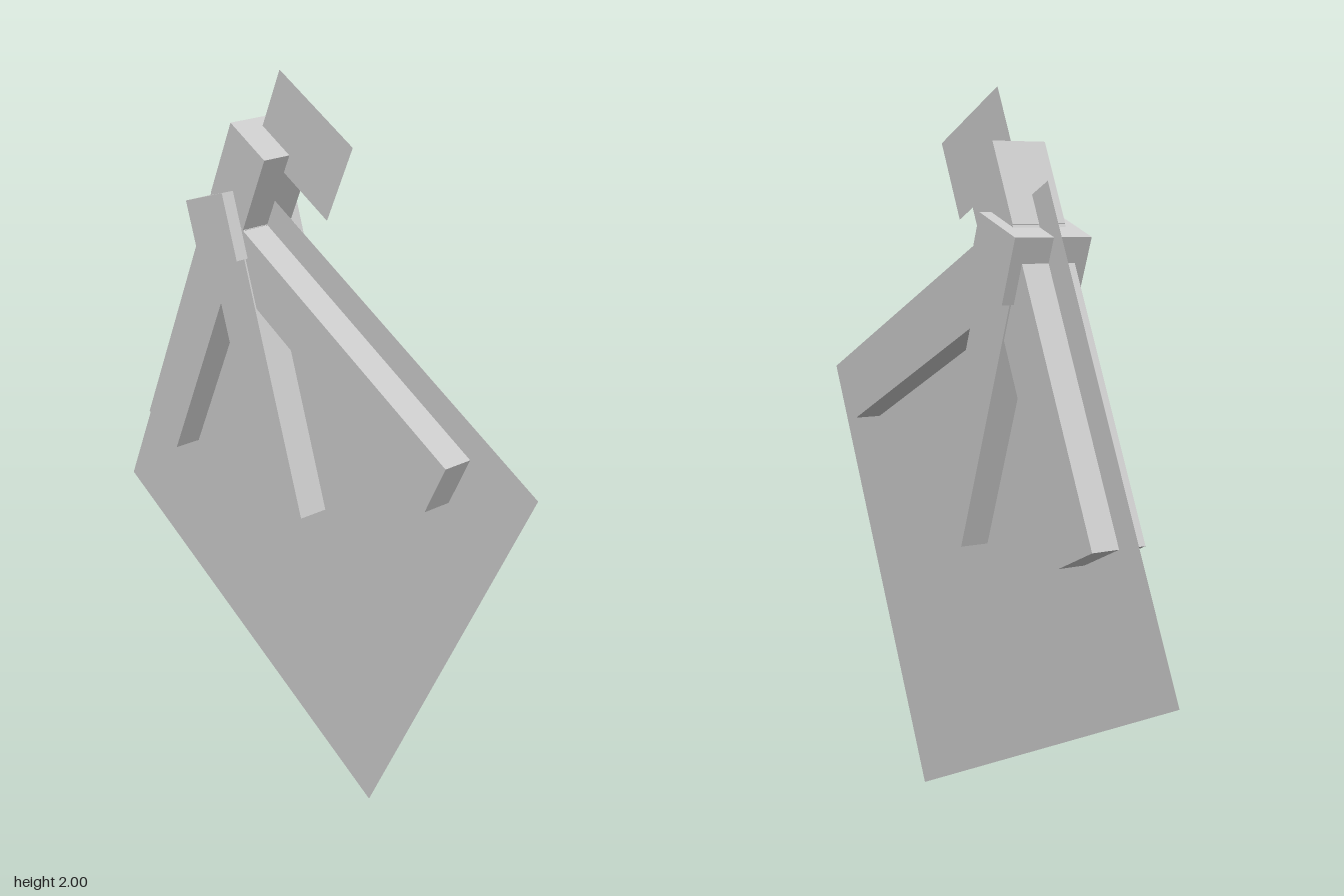
import * as THREE from 'three';

export function createModel() {
  const group = new THREE.Group();
  const grey = new THREE.MeshStandardMaterial({ color: 0xcccccc, side: THREE.DoubleSide });
  grey.name = 'light grey';
  const deg = Math.PI / 180;

  const add = (name, geometry, x, y, angle) => {
    const mesh = new THREE.Mesh(geometry, grey);
    mesh.name = name;
    mesh.position.set(x, y, 0);
    mesh.rotation.z = angle * deg;
    group.add(mesh);
  };

  // Flat sheets, tilted with the figure
  add('largeSheet', new THREE.PlaneGeometry(1.324, 1.324), 0, 0.881, -25);
  add('smallSheet', new THREE.PlaneGeometry(0.318, 0.227), 0.012, 1.833, -25);

  // Neck and hub where the limbs meet
  add('neck', new THREE.BoxGeometry(0.157, 0.227, 0.157), -0.164, 1.725, -25);
  add('hub', new THREE.BoxGeometry(0.178, 0.178, 0.227), -0.236, 1.57, 20);

  // Long limbs: centre of the free end, angle, length and depth
  const limbs = [
    ['rightLimb', -0.567, 0.857, -25, 0.843, 0.157],
    ['middleLimb', 0.037, 0.822, 20, 0.843, 0.166],
    ['leftLimb', 0.622, 1.145, 65, 0.88, 0.157],
  ];
  for (const [name, x, y, angle, length, depth] of limbs) {
    const a = angle * deg;
    add(name, new THREE.BoxGeometry(0.157, length, depth),
      x - Math.sin(a) * length / 2, y + Math.cos(a) * length / 2, angle);
  }
  return group;
}
